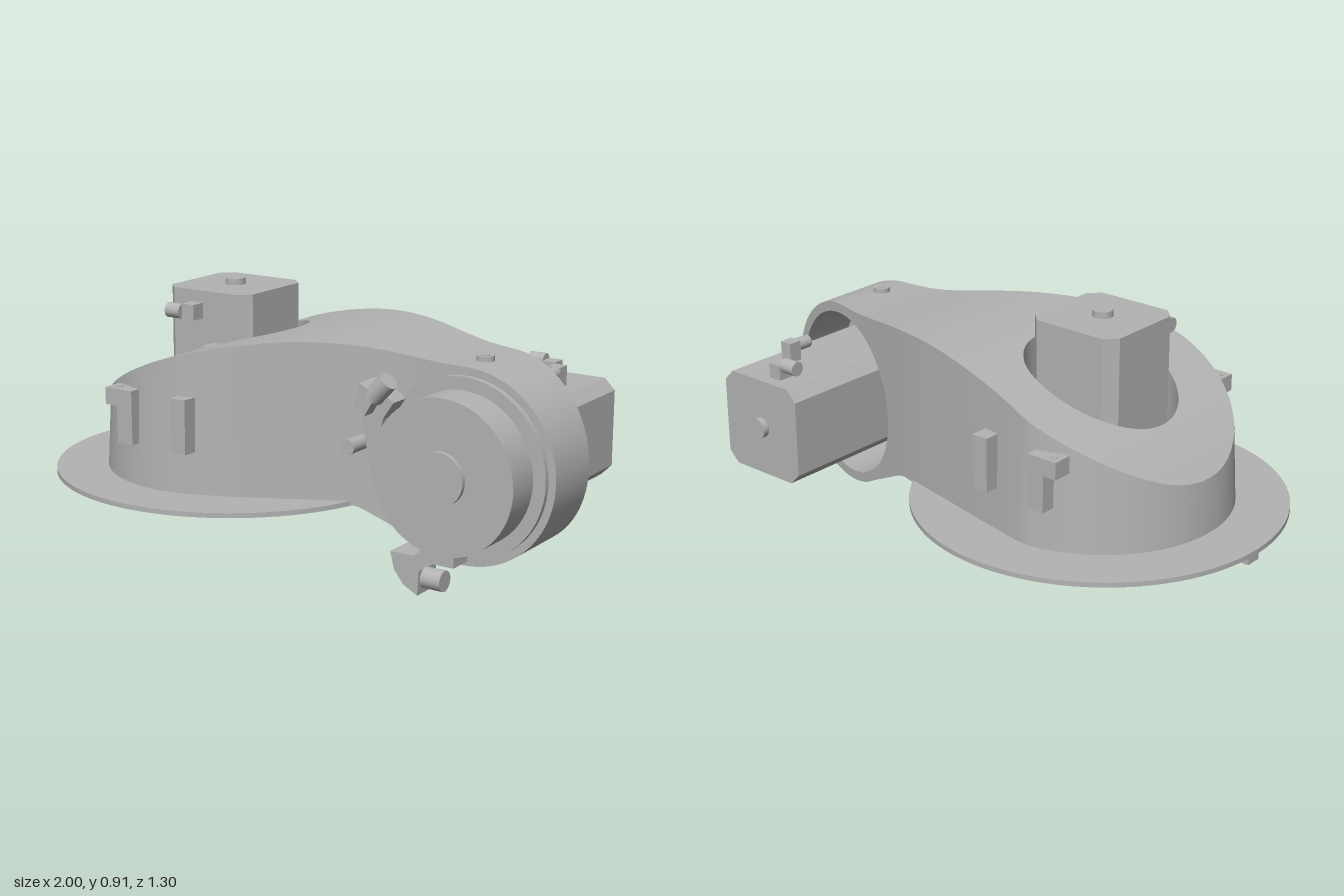
import * as THREE from 'three';
import { toCreasedNormals } from 'three/addons/utils/BufferGeometryUtils.js';

const grey = new THREE.MeshStandardMaterial({ color: 0xb3b3b3, side: THREE.DoubleSide });
const BASE = -0.35, HEAD = 0.665, HEAD_Y = 0.415, HEAD_R = 0.335;
const POCKET_R = 0.26, BORE_R = 0.3;

// smooth function through a few (x, value) pairs
function through(...pairs) {
  const c = new THREE.CubicInterpolant(pairs.map(p => p[0]), pairs.map(p => p[1]), 1);
  return x => c.evaluate(x)[0];
}
const chord = (r, d) => Math.sqrt(Math.max(0, r * r - d * d));

// arm outline: plan front and back edges, upper and lower profiles
const frontCurve = through([-0.22, 0.43], [-0.1, 0.385], [0, 0.34], [0.15, 0.26], [0.3, 0.185], [0.45, 0.137], [0.6, 0.126], [1, 0.126]);
const backCurve = through([-0.4, -0.447], [-0.1, -0.4], [0.2, -0.34], [0.5, -0.25], [1, -0.105]);
const topCurve = through([-0.8, 0.44], [-0.7, 0.52], [-0.55, 0.61], [-0.35, 0.7], [-0.2, 0.745], [0, 0.783], [0.14, 0.793],
  [0.3, 0.785], [0.45, 0.765], [0.55, 0.754], [0.665, 0.75]);
const zFront = x => x < -0.22 ? chord(0.45, x - BASE) : frontCurve(x);
const zBack = x => x < -0.4 ? -chord(0.45, x - BASE) : backCurve(x);
const yTop = x => x < HEAD ? topCurve(x) : HEAD_Y + chord(HEAD_R, x - HEAD);
const yLow = x => x < 0.28 ? 0.24 : x < 0.48 ? 0.24 - (x - 0.28) * 0.52 : HEAD_Y - chord(HEAD_R, x - HEAD);

// stations along x, packed towards both ends
function stations(a, b, n) {
  return Array.from({ length: n + 1 }, (_, i) => a + (b - a) * (1 - Math.cos(Math.PI * i / n)) / 2);
}

function buildArm() {
  const pos = [];
  const strip = (xs, f, g) => {
    for (let i = 0; i < xs.length - 1; i++) {
      const a = f(xs[i]), b = f(xs[i + 1]), c = g(xs[i + 1]), d = g(xs[i]);
      pos.push(...a, ...b, ...c, ...a, ...c, ...d);
    }
  };
  // the lower edge flares slightly around the round end
  const flare = (x, z) => {
    const k = 1 + 0.035 * THREE.MathUtils.clamp(-x / 0.35, 0, 1);
    return [BASE + (x - BASE) * k, yLow(x), z * k];
  };
  const topF = x => [x, yTop(x), zFront(x)], topB = x => [x, yTop(x), zBack(x)];
  const lowF = x => flare(x, zFront(x)), lowB = x => flare(x, zBack(x));
  const p = x => chord(POCKET_R, x - BASE), b = x => chord(BORE_R, x - HEAD);
  const pocketF = x => [x, yTop(x), p(x)], pocketB = x => [x, yTop(x), -p(x)];
  const boreT = x => [x, HEAD_Y + b(x), zBack(x)], boreL = x => [x, HEAD_Y - b(x), zBack(x)];

  const tail = stations(-0.8, BASE - POCKET_R, 14), pocket = stations(BASE - POCKET_R, BASE + POCKET_R, 28);
  const neck = stations(BASE + POCKET_R, HEAD - BORE_R, 16), bore = stations(HEAD - BORE_R, HEAD + BORE_R, 32);
  const tip = stations(HEAD + BORE_R, HEAD + HEAD_R, 8);
  for (const xs of [tail, pocket, neck, bore, tip]) {
    strip(xs, lowF, topF);
    strip(xs, lowB, lowF);
    if (xs === pocket) {
      strip(xs, topF, pocketF);
      strip(xs, pocketB, topB);
      strip(xs, pocketF, x => [x, 0.3, p(x)]);
      strip(xs, x => [x, 0.3, -p(x)], pocketB);
      strip(xs, x => [x, 0.3, p(x)], x => [x, 0.3, -p(x)]);
    } else strip(xs, topF, topB);
    if (xs === bore) {
      strip(xs, topB, boreT);
      strip(xs, boreL, lowB);
      strip(xs, boreT, x => [x, HEAD_Y + b(x), 0.1]);
      strip(xs, x => [x, HEAD_Y - b(x), 0.1], boreL);
      strip(xs, x => [x, HEAD_Y + b(x), 0.1], x => [x, HEAD_Y - b(x), 0.1]);
    } else strip(xs, topB, lowB);
  }
  const g = new THREE.BufferGeometry();
  g.setAttribute('position', new THREE.Float32BufferAttribute(pos, 3));
  return toCreasedNormals(g, 0.6);
}

function add(parent, name, geometry, x = 0, y = 0, z = 0) {
  const m = new THREE.Mesh(geometry, grey);
  m.name = name;
  m.position.set(x, y, z);
  parent.add(m);
  return m;
}
const box = (w, h, d) => new THREE.BoxGeometry(w, h, d);
const cyl = (r, h, n = 32) => new THREE.CylinderGeometry(r, r, h, n);
const cylZ = (r, h, n = 64) => cyl(r, h, n).rotateX(Math.PI / 2);
const cylX = (r, h) => cyl(r, h, 24).rotateZ(Math.PI / 2);
const plate = (pts, depth) => new THREE.ExtrudeGeometry(
  new THREE.Shape(pts.map(q => new THREE.Vector2(...q))), { depth, bevelEnabled: false });

// motor hanging below its own origin, sockets on its +z side
function buildMotor(length) {
  const g = new THREE.Group();
  const h = 0.176, c = h - 0.04;
  const body = plate([[c, -h], [h, -c], [h, c], [c, h], [-c, h], [-h, c], [-h, -c], [-c, -h]], length);
  add(g, 'motorHousing', body.rotateX(Math.PI / 2));
  add(g, 'motorCap', cyl(0.036, 0.025), 0, 0.01, 0);
  add(g, 'powerSocketBase', box(0.05, 0.055, 0.06), -0.035, -0.07, 0.2);
  add(g, 'powerSocketTip', cylX(0.026, 0.06), -0.09, -0.07, 0.226);
  add(g, 'signalSocketBase', box(0.046, 0.05, 0.075), 0.055, -0.205, 0.21);
  add(g, 'signalSocketTip', cyl(0.023, 0.055, 24), 0.055, -0.257, 0.225);
  return g;
}

export function createModel() {
  const model = new THREE.Group();
  add(model, 'arm', buildArm());

  // base flange
  add(model, 'flange', cyl(0.65, 0.017, 96), BASE, 0.242, 0);
  add(model, 'flangeRing', cyl(0.462, 0.02, 96), BASE, 0.228, 0);
  add(model, 'flangeHub', cyl(0.09, 0.03, 48), BASE, 0.22, 0);
  add(model, 'flangeStop', box(0.055, 0.04, 0.06), -0.957, 0.217, 0);

  // motors
  const baseMotor = buildMotor(0.6);
  baseMotor.name = 'baseMotor';
  baseMotor.position.set(BASE - 0.002, 0.897, 0);
  const headMotor = buildMotor(0.72);
  headMotor.name = 'headMotor';
  headMotor.position.set(HEAD, 0.413, -0.613);
  headMotor.rotation.x = -Math.PI / 2;
  model.add(baseMotor, headMotor);

  // joint output on the head
  add(model, 'jointRim', cylZ(0.308, 0.03), HEAD, HEAD_Y, 0.13);
  add(model, 'jointDrum', cylZ(0.263, 0.16), HEAD, HEAD_Y, 0.195);
  add(model, 'jointBoss', cylZ(0.09, 0.03, 40), HEAD, HEAD_Y, 0.277);
  add(model, 'headPlug', cyl(0.03, 0.04), HEAD, 0.747, 0);
  add(model, 'headPlugCentre', cyl(0.014, 0.045, 20), HEAD, 0.747, 0);

  // lugs on both side walls
  for (const s of [1, -1]) {
    const hook = plate([[-0.5, 0.4], [-0.435, 0.4], [-0.435, 0.59], [-0.55, 0.59], [-0.55, 0.53], [-0.5, 0.53]], 0.07);
    add(model, 'hookLug', hook, 0, 0, s > 0 ? 0.415 : -0.485);
    add(model, 'hookPin', cyl(0.014, 0.01, 20), -0.517, 0.588, s * 0.45);
    add(model, 'barLug', box(0.06, 0.19, 0.07), -0.235, 0.495, s * 0.45);
  }
  const wedge = plate([[0.1, -0.305], [0.1, -0.25], [0.25, -0.18], [0.23, -0.305]], 0.025);
  add(model, 'wedgeLug', wedge.rotateX(Math.PI / 2), 0, 0.525, 0).scale.z = 1;

  // upper cable bracket
  const upper = plate([[0.35, 0.685], [0.325, 0.6], [0.345, 0.47], [0.37, 0.335], [0.405, 0.335], [0.39, 0.46],
    [0.41, 0.56], [0.45, 0.62], [0.4, 0.66]], 0.09);
  add(model, 'upperBracket', upper, 0, 0, 0.13);
  add(model, 'upperPlugBlock', plate([[0.35, 0.685], [0.33, 0.6], [0.37, 0.575], [0.415, 0.65]], 0.065), 0, 0, 0.205);
  add(model, 'upperPlug', cyl(0.034, 0.085, 24), 0.415, 0.667, 0.24).rotation.z = -0.75;
  add(model, 'sidePin', cylZ(0.026, 0.09, 24), 0.305, 0.46, 0.225);

  // lower cable bracket
  const lower = plate([[0.485, 0.14], [0.5, 0.08], [0.535, 0.035], [0.59, 0.006], [0.595, 0.09], [0.57, 0.14]], 0.11);
  add(model, 'lowerBracket', lower, 0, 0, 0.175);
  add(model, 'lowerBracketArm', box(0.13, 0.04, 0.105), 0.63, 0.125, 0.182);
  add(model, 'lowerPlug', cylX(0.036, 0.08), 0.627, 0.058, 0.24);
  return model;
}
